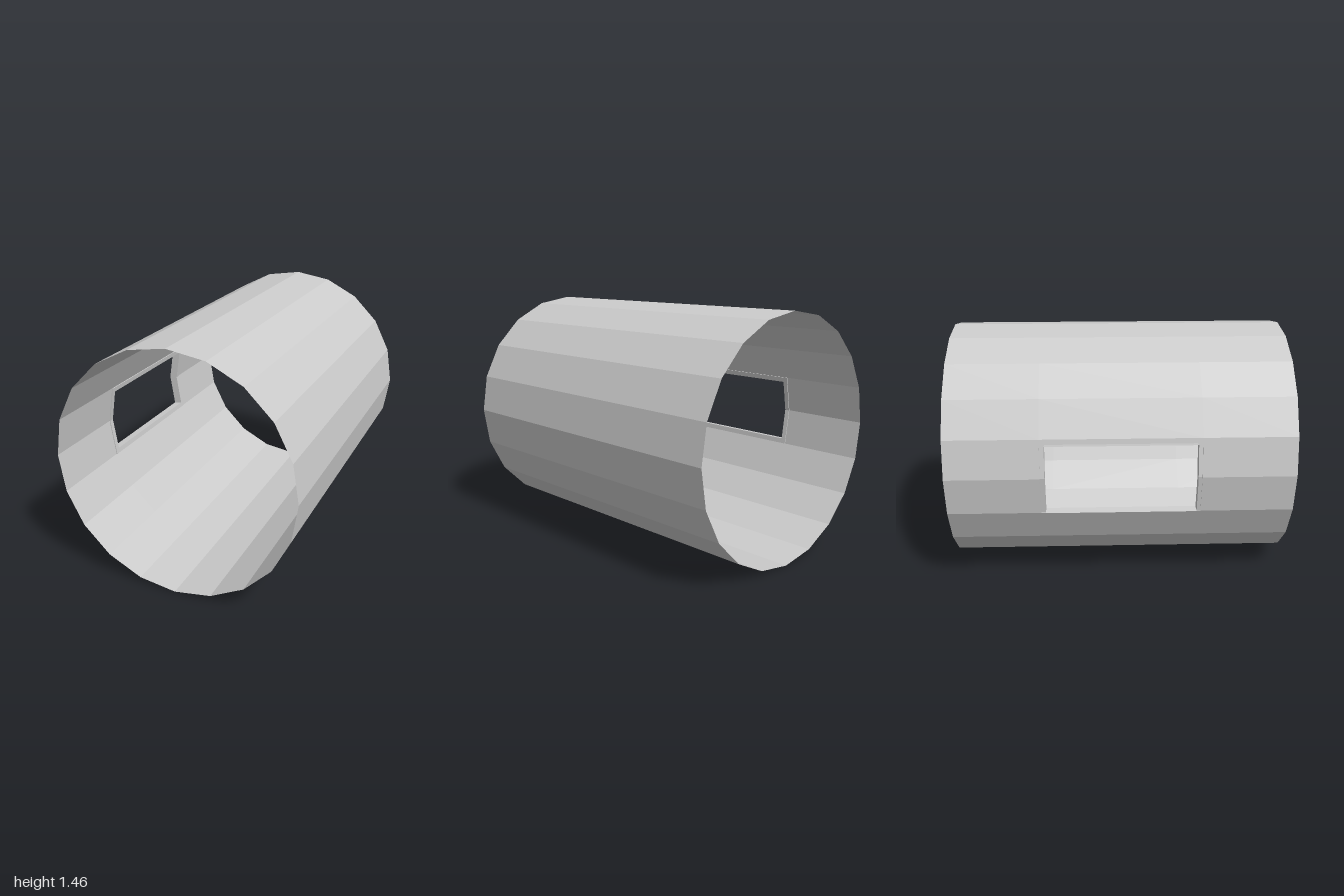
import * as THREE from 'three';

const R = 0.73, CX = 0.02, CY = 0.73, SIDES = 20;
const STEP = (Math.PI * 2) / SIDES;
const HOLE = 0.46; // half length of the window opening

const material = new THREE.MeshStandardMaterial({
  color: 0xcccccc, flatShading: true, side: THREE.DoubleSide,
});

// Open tube section along z, with an optional gap of facets
function tube(name, z0, z1, start = 0, sides = SIDES) {
  const g = new THREE.CylinderGeometry(R, R, z1 - z0, sides, 1, true, start, sides * STEP);
  g.rotateX(Math.PI / 2).translate(CX, CY, (z0 + z1) / 2);
  const mesh = new THREE.Mesh(g, material);
  mesh.name = name;
  return mesh;
}

// Bent rectangular loop following the two window facets:
// f = share of facet height, h = half length, out = offset along the facet normal
function windowLoop([f, h, out]) {
  const mid = [CX - R - out, CY];
  const edge = (s) => [
    CX - R + R * (1 - Math.cos(STEP)) * f - Math.cos(STEP / 2) * out,
    CY + s * (R * Math.sin(STEP) * f + Math.sin(STEP / 2) * out),
  ];
  const side = [edge(-1), mid, edge(1)];
  return [
    ...side.map(([x, y]) => [x, y, -h]),
    ...side.reverse().map(([x, y]) => [x, y, h]),
  ];
}

// Surface joining consecutive loops
function loft(loops) {
  const pos = [];
  for (let i = 0; i < loops.length - 1; i++) {
    const a = loops[i], b = loops[i + 1], n = a.length;
    for (let j = 0; j < n; j++) {
      const k = (j + 1) % n;
      pos.push(...a[j], ...b[j], ...b[k], ...a[j], ...b[k], ...a[k]);
    }
  }
  const g = new THREE.BufferGeometry();
  g.setAttribute('position', new THREE.Float32BufferAttribute(pos, 3));
  g.computeVertexNormals();
  return g;
}

export function createModel() {
  const model = new THREE.Group();
  model.name = 'tubeWithWindow';

  // Tube wall: two full ends and a middle missing the two window facets
  model.add(tube('backWall', -1, -HOLE));
  model.add(tube('frontWall', HOLE, 1));
  model.add(tube('middleWall', -HOLE, HOLE, Math.PI * 1.5 + STEP, SIDES - 2));

  // Window frame: recessed step, flat flange, then a collar standing outwards
  const profile = [[1, HOLE, 0], [1, HOLE, -0.005], [0.865, 0.43, -0.005], [0.865, 0.43, 0.047]];
  const frame = new THREE.Mesh(loft(profile.map(windowLoop)), material);
  frame.name = 'windowFrame';
  model.add(frame);

  return model;
}
